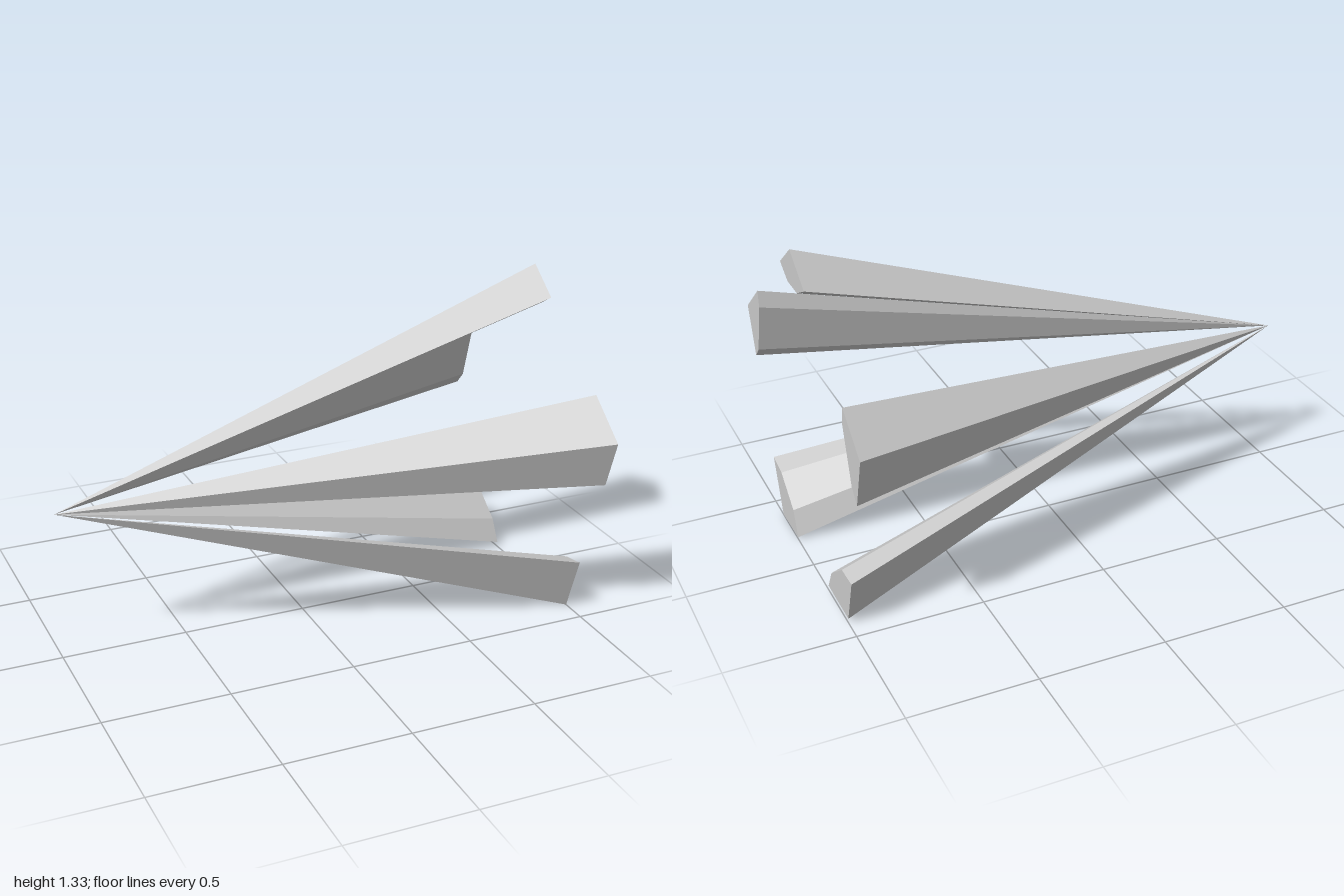
import * as THREE from 'three';

const APEX = [-1, 0.609, 0];

// End outline of each spike at x = 1, as [z, y], counterclockwise seen from +x
const SPIKES = {
  topSpike: [[0, 1.333], [0.134, 1.232], [0.055, 1.186], [-0.055, 1.186], [-0.145, 1.232]],
  upperFrontSpike: [[0.497, 0.956], [0.668, 0.819], [0.605, 0.625], [0.559, 0.672], [0.491, 0.887]],
  lowerFrontSpike: [[0.469, 0.228], [0.391, 0], [0.195, 0.008], [0.234, 0.112], [0.37, 0.21]],
  lowerBackSpike: [[-0.477, 0.214], [-0.37, 0.21], [-0.234, 0.11], [-0.184, 0.02], [-0.412, 0.02]],
  upperBackSpike: [[-0.505, 0.956], [-0.491, 0.887], [-0.555, 0.672], [-0.602, 0.62], [-0.666, 0.83]],
};

// Closed pyramid: one side per outline edge, plus a flat end cap
function spikeGeometry(outline) {
  const ring = outline.map(([z, y]) => [1, y, z]);
  const corners = [];
  ring.forEach((a, i) => {
    const b = ring[(i + 1) % ring.length];
    corners.push(APEX, b, a);
    if (i > 0 && i < ring.length - 1) corners.push(ring[0], a, b);
  });
  const geometry = new THREE.BufferGeometry();
  geometry.setAttribute('position', new THREE.Float32BufferAttribute(corners.flat(), 3));
  geometry.computeVertexNormals();
  return geometry;
}

export function createModel() {
  const model = new THREE.Group();
  model.name = 'spikeCluster';
  const material = new THREE.MeshStandardMaterial({ color: 0xcccccc, flatShading: true });

  // Five spikes fanning out from a shared point
  for (const [name, outline] of Object.entries(SPIKES)) {
    const spike = new THREE.Mesh(spikeGeometry(outline), material);
    spike.name = name;
    model.add(spike);
  }
  return model;
}
